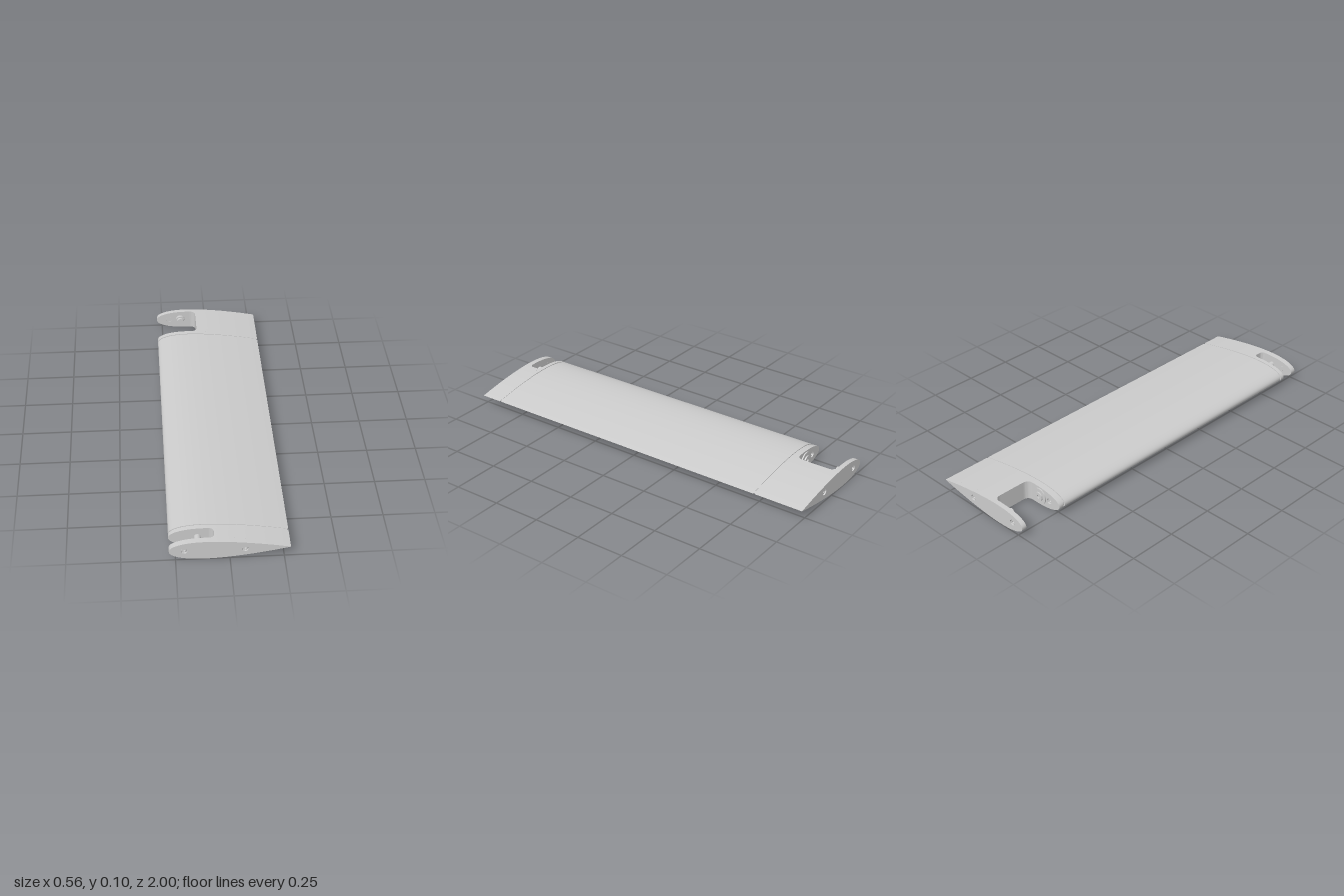
import * as THREE from 'three';
import { toCreasedNormals } from 'three/addons/utils/BufferGeometryUtils.js';

const CHORD = 0.56, NOSE = -0.28, TAIL = 0.28, MID = 0.0505, THICK = 0.18;
const SCREW_X = [-0.21, 0.07], PIN_X = -0.145;
const material = new THREE.MeshStandardMaterial({ color: 0xcccccc });

// Half thickness of the symmetrical aerofoil at x
function half(x) {
  const t = THREE.MathUtils.clamp((x - NOSE) / CHORD, 0, 1);
  return 5 * THICK * CHORD *
    (0.2969 * Math.sqrt(t) - 0.126 * t - 0.3516 * t * t + 0.2843 * t ** 3 - 0.1036 * t ** 4);
}

// Aerofoil outline from x = start to the trailing edge, optionally shrunk by inset
function foil(start = NOSE, inset = 0) {
  const n = 32, upper = [], lower = [];
  for (let i = 0; i <= n; i++) {
    const s = start === NOSE ? (1 - Math.cos(Math.PI * i / n)) / 2 : i / n;
    const x = start + (TAIL - start) * s;
    const h = half(x) * (1 - inset), px = x * (1 - inset * 0.3);
    upper.push(new THREE.Vector2(px, MID + h));
    if (i < n && (h > 1e-6)) lower.push(new THREE.Vector2(px, MID - h));
  }
  return new THREE.Shape([...lower, ...upper.reverse()]);
}

function add(group, name, geometry) {
  const mesh = new THREE.Mesh(geometry, material);
  mesh.name = name;
  group.add(mesh);
  return mesh;
}

// Slice of wing between two z positions, with round holes at given x
function slice(group, name, z0, z1, { holes = [], inset = 0 } = {}) {
  const shape = foil(NOSE, inset);
  for (const x of holes) {
    shape.holes.push(new THREE.Path().absarc(x, MID, 0.015, 0, Math.PI * 2, true));
  }
  const geo = new THREE.ExtrudeGeometry(shape, { depth: z1 - z0, bevelEnabled: false, curveSegments: 24 });
  geo.translate(0, 0, z0);
  return add(group, name, toCreasedNormals(geo, 0.6));
}

// Rear part of a bracket: the wall of the notch is filleted into both neighbours
function block(group, name, z0, z1, cut, r) {
  const geo = new THREE.ExtrudeGeometry(foil(cut), { depth: 1, steps: 32, bevelEnabled: false });
  const p = geo.attributes.position;
  for (let i = 0; i < p.count; i++) {
    const x = p.getX(i), y = p.getY(i);
    const z = z0 + (z1 - z0) * (1 - Math.cos(Math.PI * p.getZ(i))) / 2;
    const d = Math.max(0, r - Math.min(z - z0, z1 - z));
    const wall = cut - (r - Math.sqrt(Math.max(0, r * r - d * d)));
    const nx = wall + (x - cut) * (TAIL - wall) / (TAIL - cut);
    const h = half(x);
    p.setXYZ(i, nx, h > 1e-4 ? MID + (y - MID) * half(nx) / h : y, z);
  }
  return add(group, name, toCreasedNormals(geo, 0.6));
}

// Round part along z
function disc(group, name, x, r, z0, z1) {
  const geo = new THREE.CylinderGeometry(r, r, z1 - z0, 32);
  geo.rotateX(Math.PI / 2);
  geo.translate(x, MID, (z0 + z1) / 2);
  return add(group, name, geo);
}

// Socket screw sunk in a plate, its head facing +z (dir 1) or -z (dir -1)
function screw(group, x, face, depth, dir) {
  const profile = [[0, -depth], [0.0145, -depth], [0.0145, -0.009], [0.011, -0.005],
    [0.006, -0.005], [0.005, -0.012], [0, -0.012]].map(([a, b]) => new THREE.Vector2(a, b));
  const geo = toCreasedNormals(new THREE.LatheGeometry(profile, 24), 0.5);
  geo.rotateX(dir * Math.PI / 2);
  geo.translate(x, MID, face);
  return add(group, 'screw', geo);
}

export function createModel() {
  const root = new THREE.Group();
  root.name = 'wing';

  // Long panel with shallow seams to the end brackets
  slice(root, 'mainPanel', -0.732, 0.876);
  slice(root, 'rearSeam', -0.742, -0.73, { inset: 0.07 });
  slice(root, 'frontSeam', 0.874, 0.884, { inset: 0.07 });

  // Front bracket: rib, narrow notch, end plate and hinge pin
  const front = new THREE.Group();
  front.name = 'frontBracket';
  slice(front, 'frontRib', 0.883, 0.905);
  block(front, 'frontBlock', 0.905, 0.97, -0.07, 0.022);
  slice(front, 'frontPlate', 0.97, 1, { holes: SCREW_X });
  disc(front, 'frontPin', PIN_X, 0.016, 0.904, 0.971);
  for (const x of SCREW_X) screw(front, x, 1, 0.03, 1);

  // Rear bracket: rib, wide notch and end plate
  const rear = new THREE.Group();
  rear.name = 'rearBracket';
  slice(rear, 'rearRib', -0.768, -0.741, { holes: [SCREW_X[0]] });
  block(rear, 'rearBlock', -0.975, -0.768, -0.06, 0.03);
  slice(rear, 'rearPlate', -1, -0.975, { holes: SCREW_X });
  for (const x of SCREW_X) screw(rear, x, -1, 0.025, -1);
  screw(rear, SCREW_X[0], -0.768, 0.025, -1);

  // Pivot boss on the plate, facing a flanged bearing on the rib
  disc(rear, 'pivotBoss', PIN_X, 0.026, -0.976, -0.96);
  disc(rear, 'pivotTip', PIN_X, 0.02, -0.961, -0.945);
  disc(rear, 'bearingFlange', PIN_X, 0.042, -0.774, -0.767);
  const ring = new THREE.LatheGeometry([[0.009, 0], [0.009, 0.008], [0.024, 0.008], [0.024, 0]]
    .map(([a, b]) => new THREE.Vector2(a, b)).reverse(), 32);
  ring.rotateX(-Math.PI / 2);
  ring.translate(PIN_X, MID, -0.773);
  add(rear, 'bearingRing', toCreasedNormals(ring, 0.5)).material =
    new THREE.MeshStandardMaterial({ color: 0xcccccc, side: THREE.DoubleSide });

  root.add(front, rear);
  return root;
}
